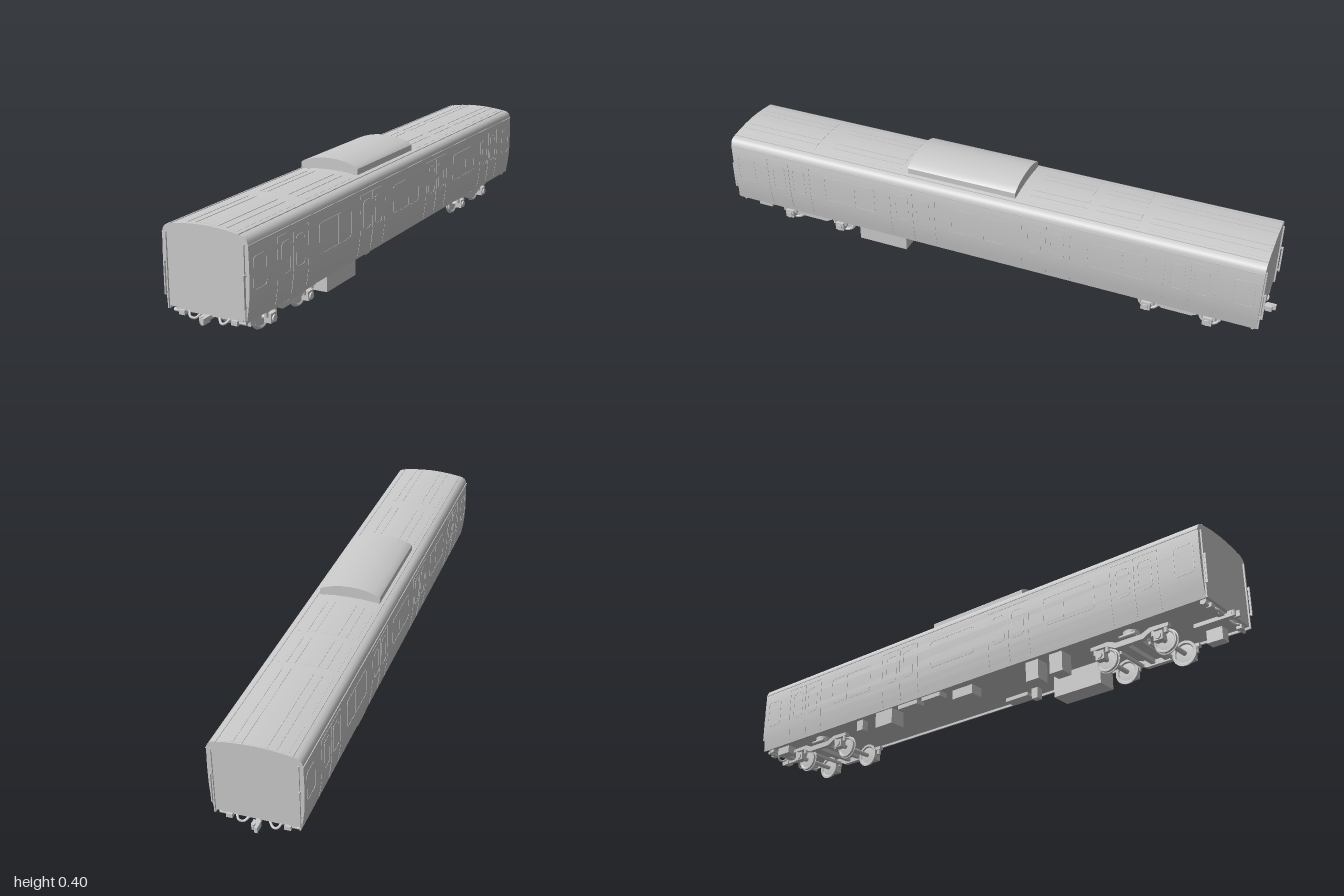
import * as THREE from 'three';
import { toCreasedNormals } from 'three/addons/utils/BufferGeometryUtils.js';

const material = new THREE.MeshStandardMaterial({ color: 0xcccccc, side: THREE.DoubleSide });

// Half outline of the body, from sill to roof ridge
const SIDE = [[0.133, 0.095], [0.139, 0.13], [0.1435, 0.165], [0.1455, 0.2], [0.146, 0.26], [0.1445, 0.322]];
const ROOF = [[0.142, 0.333], [0.136, 0.342], [0.126, 0.348], [0.105, 0.352], [0.075, 0.3563], [0.04, 0.3595], [0, 0.361]];

const interp = (pts, key, value) => {
  const out = 1 - key;
  for (let i = 1; i < pts.length; i++) {
    const a = pts[i - 1], b = pts[i];
    if ((value - a[key]) * (value - b[key]) <= 0) return a[out] + (b[out] - a[out]) * (value - a[key]) / (b[key] - a[key]);
  }
  return pts[pts.length - 1][out];
};
const sideX = y => interp(SIDE, 1, y);
const roofY = x => interp(ROOF, 0, Math.abs(x));

function add(parent, name, geometry, x = 0, y = 0, z = 0) {
  const mesh = new THREE.Mesh(geometry, material);
  mesh.name = name;
  mesh.position.set(x, y, z);
  parent.add(mesh);
  return mesh;
}
const box = (parent, name, w, h, d, x, y, z) => add(parent, name, new THREE.BoxGeometry(w, h, d), x, y, z);
const boxSpan = (parent, name, [x0, x1], [y0, y1], [z0, z1]) =>
  box(parent, name, x1 - x0, y1 - y0, z1 - z0, (x0 + x1) / 2, (y0 + y1) / 2, (z0 + z1) / 2);
function rod(parent, name, r, length, axis, x, y, z, sides = 16) {
  const g = new THREE.CylinderGeometry(r, r, length, sides);
  if (axis === 'x') g.rotateZ(Math.PI / 2);
  if (axis === 'z') g.rotateX(Math.PI / 2);
  return add(parent, name, g, x, y, z);
}
function extrude(shape, depth, crease = 0.5) {
  const g = new THREE.ExtrudeGeometry(shape, { depth, bevelEnabled: false, curveSegments: 12 });
  return toCreasedNormals(g, crease);
}
const shapeOf = pts => new THREE.Shape(pts.map(p => new THREE.Vector2(...p)));
const mirrored = pts => [...pts, ...pts.filter(p => p[0] > 0).reverse().map(([x, y]) => [-x, y])];

function roundRect(Type, w, h, r) {
  const s = new Type(), x = w / 2, y = h / 2;
  s.moveTo(-x + r, -y).lineTo(x - r, -y).absarc(x - r, -y + r, r, -Math.PI / 2, 0);
  s.lineTo(x, y - r).absarc(x - r, y - r, r, 0, Math.PI / 2);
  s.lineTo(-x + r, y).absarc(-x + r, y - r, r, Math.PI / 2, Math.PI);
  s.lineTo(-x, -y + r).absarc(-x + r, -y + r, r, Math.PI, Math.PI * 1.5);
  return s;
}

// Moves a flat panel (z along, y up, x thickness) onto the curved side wall
function wrapToSide(g, cy, side) {
  const p = g.attributes.position;
  for (let i = 0; i < p.count; i++) p.setX(i, side * (sideX(p.getY(i) + cy) + side * p.getX(i)));
  g.computeVertexNormals();
  return g;
}
function windowFrame(parent, side, z, y, w, h) {
  const s = roundRect(THREE.Shape, w, h, 0.014);
  s.holes.push(roundRect(THREE.Path, w - 0.006, h - 0.006, 0.011));
  const g = new THREE.ExtrudeGeometry(s, { depth: 0.002, bevelEnabled: false, curveSegments: 4 });
  g.translate(0, 0, -0.001).rotateY(Math.PI / 2);
  add(parent, 'windowFrame', wrapToSide(g, y, side), 0, y, z);
}
function sideStrip(parent, name, side, z, y0, y1, w, t) {
  const y = (y0 + y1) / 2;
  const g = new THREE.BoxGeometry(t, y1 - y0, w, 1, 8, 1);
  add(parent, name, wrapToSide(g, y, side), 0, y, z);
}

// Thin curved sheet lying on the roof
function roofPanel(parent, x0, x1, z0, z1, lift, name) {
  const g = new THREE.BoxGeometry(x1 - x0, 0.002, z1 - z0, 12, 1, 1).translate((x0 + x1) / 2, 0, (z0 + z1) / 2);
  const p = g.attributes.position;
  for (let i = 0; i < p.count; i++) p.setY(i, p.getY(i) + roofY(p.getX(i)) + lift);
  add(parent, name, toCreasedNormals(g, 0.5));
}

function buildBody(model) {
  const body = new THREE.Group();
  body.name = 'body';
  model.add(body);
  // Shell with a slightly recessed floor between the sills
  const half = [[0.128, 0.103], [0.128, 0.095], ...SIDE, ...ROOF];
  add(body, 'shell', extrude(shapeOf(mirrored(half)), 1.93), 0, 0, -0.965);

  for (const side of [1, -1]) {
    box(body, 'gutter', 0.004, 0.003, 1.93, side * 0.1445, 0.3225, 0);
    box(body, 'roofRail', 0.003, 0.003, 1.93, side * 0.114, 0.351, 0);
    for (const z of [-0.49, 0, 0.49]) {
      windowFrame(body, side, z, 0.235, 0.2, 0.1);
      sideStrip(body, 'windowDivider', side, z - 0.02, 0.188, 0.282, 0.003, 0.002);
    }
    for (const z of [-0.91, 0.91]) windowFrame(body, side, z, 0.235, 0.07, 0.1);
    // Double sliding doors
    for (const z of [-0.735, -0.245, 0.245, 0.735]) {
      for (const d of [-1, 1]) {
        sideStrip(body, 'doorEdge', side, z + d * 0.085, 0.105, 0.305, 0.002, 0.002);
        windowFrame(body, side, z + d * 0.04, 0.235, 0.05, 0.1);
      }
      sideStrip(body, 'doorSeam', side, z, 0.11, 0.305, 0.004, 0.003);
      box(body, 'doorHeader', 0.002, 0.002, 0.17, side * sideX(0.305), 0.305, z);
    }
    // End posts and grab rails
    for (const end of [1, -1]) {
      box(body, 'cornerPost', 0.004, 0.228, 0.006, side * 0.131, 0.21, end * 0.967);
      box(body, 'grabRail', 0.004, 0.1, 0.006, side * 0.134, 0.19, end * 0.975);
      for (const y of [0.145, 0.235]) box(body, 'railBracket', 0.004, 0.005, 0.014, side * 0.134, y, end * 0.969);
    }
  }

  // Roof walk panels and ribs
  for (const [z0, z1] of [[-0.96, -0.575], [-0.54, -0.39], [-0.355, -0.16], [0.31, 0.585], [0.65, 0.95]]) {
    roofPanel(body, -0.1, 0.1, z0, z1, -0.0005, 'roofPanel');
    for (const x of [-0.065, -0.037, 0.037, 0.065]) roofPanel(body, x - 0.002, x + 0.002, z0, z1, 0.0008, 'roofRib');
  }

  // Air conditioning unit on low rails
  const unit = [[0, 0.364], [0.05, 0.3625], [0.105, 0.357], [0.105, 0.377], [0.098, 0.383], [0.08, 0.39], [0.055, 0.397], [0.028, 0.401], [0, 0.402]];
  add(body, 'roofUnit', extrude(shapeOf(mirrored(unit)), 0.395), 0, 0, -0.12);
  for (const x of [-0.085, 0.085]) box(body, 'roofUnitRail', 0.006, 0.008, 0.38, x, 0.357, 0.078);
}

function buildBogie(model, z) {
  const bogie = new THREE.Group();
  bogie.name = 'bogie';
  bogie.position.z = z;
  model.add(bogie);
  const tyre = [[0.008, -0.005], [0.03, -0.003], [0.034, -0.006], [0.038, -0.006], [0.0385, 0.002], [0.042, 0.003], [0.042, 0.006], [0.034, 0.006], [0.03, 0.002], [0.008, 0.004]];
  const wheel = toCreasedNormals(new THREE.LatheGeometry(tyre.map(p => new THREE.Vector2(...p)), 28).rotateZ(Math.PI / 2), 0.5);
  const frame = extrude(shapeOf([[-0.14, 0.068], [-0.08, 0.068], [-0.05, 0.052], [0.05, 0.052], [0.08, 0.068], [0.14, 0.068],
    [0.14, 0.08], [0.075, 0.082], [0.045, 0.07], [-0.045, 0.07], [-0.075, 0.082], [-0.14, 0.08]]), 0.016, 0.3);
  frame.translate(0, 0, -0.008).rotateY(Math.PI / 2);

  for (const dz of [-0.105, 0.105]) {
    rod(bogie, 'axle', 0.008, 0.18, 'x', 0, 0.042, dz);
    for (const s of [1, -1]) {
      add(bogie, 'wheel', wheel, s * 0.056, 0.042, dz).rotation.y = s > 0 ? 0 : Math.PI;
      box(bogie, 'axleBox', 0.024, 0.03, 0.032, s * 0.09, 0.045, dz);
      rod(bogie, 'axleCap', 0.011, 0.008, 'x', s * 0.103, 0.043, dz);
      for (const k of [-1, 1]) rod(bogie, 'axleSpring', 0.007, 0.022, 'y', s * 0.09, 0.062, dz + k * 0.022, 10);
    }
    box(bogie, 'brakeBeam', 0.13, 0.01, 0.008, 0, 0.05, dz * 0.5);
  }
  for (const s of [1, -1]) {
    add(bogie, 'sideFrame', frame, s * 0.09);
    rod(bogie, 'airSpring', 0.026, 0.02, 'y', s * 0.08, 0.086, 0, 20);
    rod(bogie, 'damper', 0.005, 0.06, 'z', s * 0.103, 0.078, 0, 10);
    box(bogie, 'transom', 0.17, 0.018, 0.014, 0, 0.066, s * 0.025);
  }
  box(bogie, 'bolster', 0.16, 0.012, 0.05, 0, 0.078, 0);
  rod(bogie, 'pivot', 0.018, 0.03, 'y', 0, 0.09, 0, 20);
}

function buildCoupler(model, end) {
  const coupler = new THREE.Group();
  coupler.name = 'coupler';
  if (end < 0) coupler.rotation.y = Math.PI;
  model.add(coupler);
  box(coupler, 'shank', 0.014, 0.013, 0.12, 0, 0.089, 0.91);
  box(coupler, 'couplerHead', 0.024, 0.019, 0.014, 0, 0.089, 0.974);
  box(coupler, 'knuckle', 0.01, 0.019, 0.021, 0.007, 0.089, 0.9895);
  rod(coupler, 'knucklePin', 0.006, 0.019, 'y', -0.006, 0.089, 0.985, 12);
  box(coupler, 'endBeam', 0.23, 0.012, 0.02, 0, 0.097, 0.945);
  for (const s of [1, -1]) {
    // Jumper hoses hanging under the end beam
    const path = new THREE.CatmullRomCurve3([[0.03, 0.092, 0.95], [0.045, 0.079, 0.962], [0.06, 0.083, 0.965], [0.07, 0.095, 0.95]]
      .map(([x, y, z]) => new THREE.Vector3(s * x, y, z)));
    add(coupler, 'hose', new THREE.TubeGeometry(path, 16, 0.004, 8));
    rod(coupler, 'pipe', 0.006, 0.035, 'x', s * 0.106, 0.088, 0.95, 10);
    box(coupler, 'socket', 0.02, 0.014, 0.018, s * 0.09, 0.088, 0.955);
  }
}

function buildEquipment(model) {
  const gear = new THREE.Group();
  gear.name = 'underfloorEquipment';
  model.add(gear);
  const top = 0.105;
  // [x range, lowest y, z range]
  const cases = [
    [[0.035, 0.107], 0.025, [0.295, 0.48]],
    [[-0.105, -0.055], 0.035, [0.38, 0.43]],
    [[-0.105, -0.055], 0.035, [0.285, 0.335]],
    [[0.07, 0.095], 0.065, [0.175, 0.2]],
    [[0.08, 0.12], 0.09, [0.055, 0.15]],
    [[-0.09, -0.04], 0.07, [-0.042, 0.045]],
    [[-0.12, -0.085], 0.085, [-0.16, -0.075]],
    [[-0.12, -0.085], 0.085, [-0.27, -0.18]],
    [[-0.115, -0.055], 0.047, [-0.385, -0.305]],
    [[-0.105, -0.08], 0.065, [-0.49, -0.46]],
    [[0.07, 0.105], 0.06, [0.85, 0.905]],
    [[-0.105, -0.07], 0.075, [-0.92, -0.86]],
  ];
  for (const [x, y, z] of cases) boxSpan(gear, 'equipmentCase', x, [y, top], z);
}

export function createModel() {
  const model = new THREE.Group();
  model.name = 'railCar';
  buildBody(model);
  for (const z of [0.675, -0.695]) buildBogie(model, z);
  for (const end of [1, -1]) buildCoupler(model, end);
  buildEquipment(model);
  return model;
}
